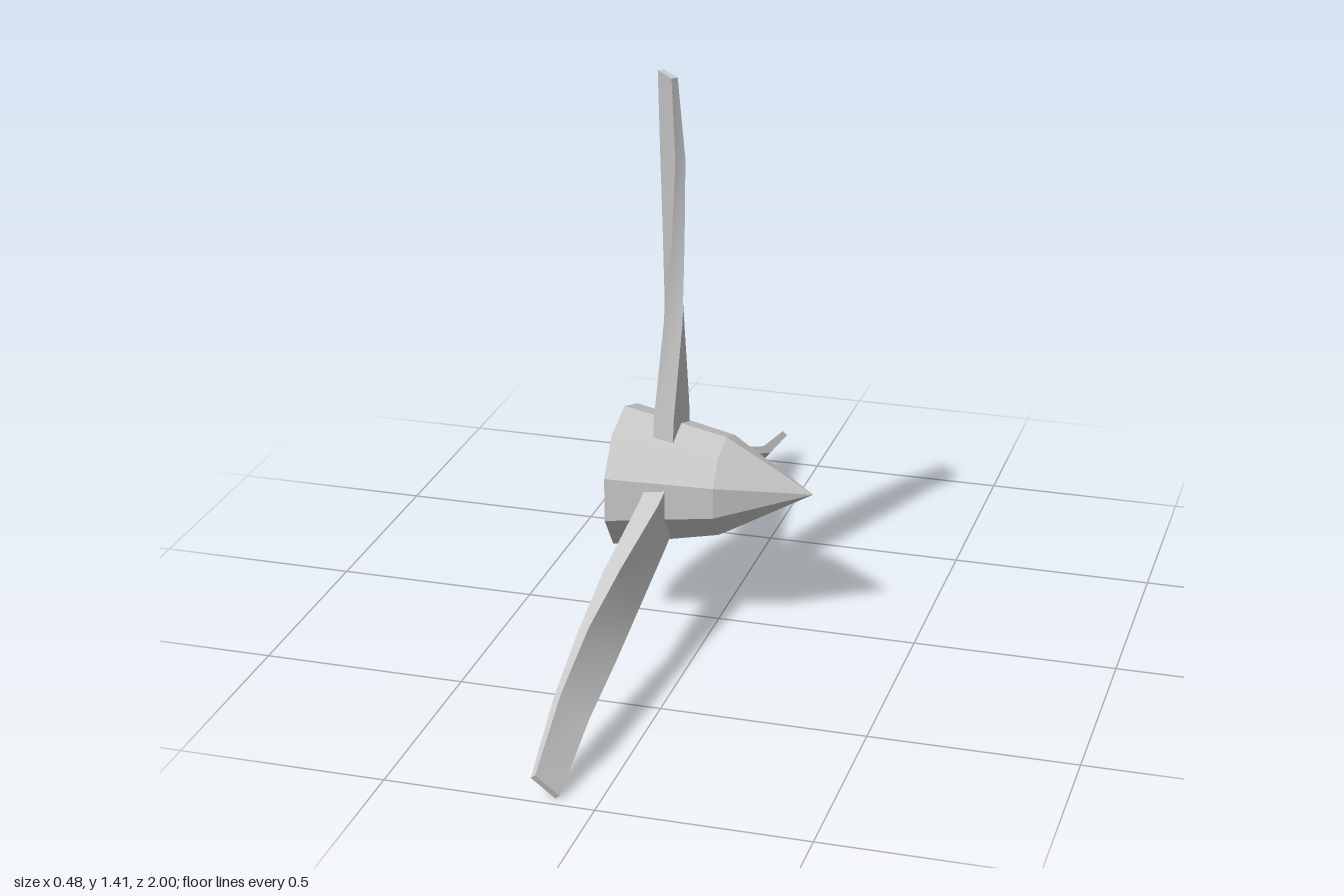
import * as THREE from 'three';

const AXIS_Y = 0.37;

// Ten-sided hollow spinner, pointing along +x and open at the rear
function makeSpinner(material) {
  const profile = [[0.18, -0.24], [0.127, 0.02], [0, 0.24]].map(([r, h]) => new THREE.Vector2(r, h));
  const geometry = new THREE.LatheGeometry(profile, 10, Math.PI / 2);
  geometry.rotateZ(-Math.PI / 2);
  const mesh = new THREE.Mesh(geometry, material);
  mesh.name = 'spinner';
  return mesh;
}

// Blade sections: radius, chord, thickness, twist in degrees, sideways offset
const SECTIONS = [
  [0.10, 0.145, 0.050, 0, 0.002],
  [0.18, 0.143, 0.050, 1, 0.000],
  [0.43, 0.124, 0.045, 16, -0.022],
  [0.63, 0.115, 0.031, 28, -0.025],
  [0.83, 0.092, 0.026, 40, -0.022],
  [1.04, 0.076, 0.016, 42, 0.015],
];

// A segmented box whose rings are scaled, twisted and swept to the sections
function makeBladeGeometry() {
  const spans = SECTIONS.length - 1;
  const geometry = new THREE.BoxGeometry(1, 1, 1, 1, spans, 1);
  const p = geometry.attributes.position;
  for (let i = 0; i < p.count; i++) {
    const [radius, chord, thickness, twist, sweep] = SECTIONS[Math.round((p.getY(i) + 0.5) * spans)];
    const a = THREE.MathUtils.degToRad(twist);
    const u = p.getZ(i) * chord;
    const v = p.getX(i) * thickness;
    p.setXYZ(
      i,
      -0.12 + u * Math.sin(a) + v * Math.cos(a),
      radius,
      sweep + u * Math.cos(a) - v * Math.sin(a)
    );
  }
  geometry.computeVertexNormals();
  return geometry;
}

export function createModel() {
  const group = new THREE.Group();
  group.name = 'propeller';

  const shell = new THREE.MeshStandardMaterial({ color: 0xcccccc, flatShading: true, side: THREE.DoubleSide });
  const bladeMaterial = new THREE.MeshStandardMaterial({ color: 0xcccccc });

  const rotor = new THREE.Group();
  rotor.name = 'rotor';
  rotor.position.y = AXIS_Y;
  group.add(rotor);

  rotor.add(makeSpinner(shell));

  // Blades sit on corners 0, 3 and 7 of the ten-sided spinner
  const bladeGeometry = makeBladeGeometry();
  [['upperBlade', 0], ['frontBlade', 3], ['rearBlade', 7]].forEach(([name, corner]) => {
    const blade = new THREE.Mesh(bladeGeometry, bladeMaterial);
    blade.name = name;
    blade.rotation.x = (corner * Math.PI) / 5;
    rotor.add(blade);
  });

  return group;
}
